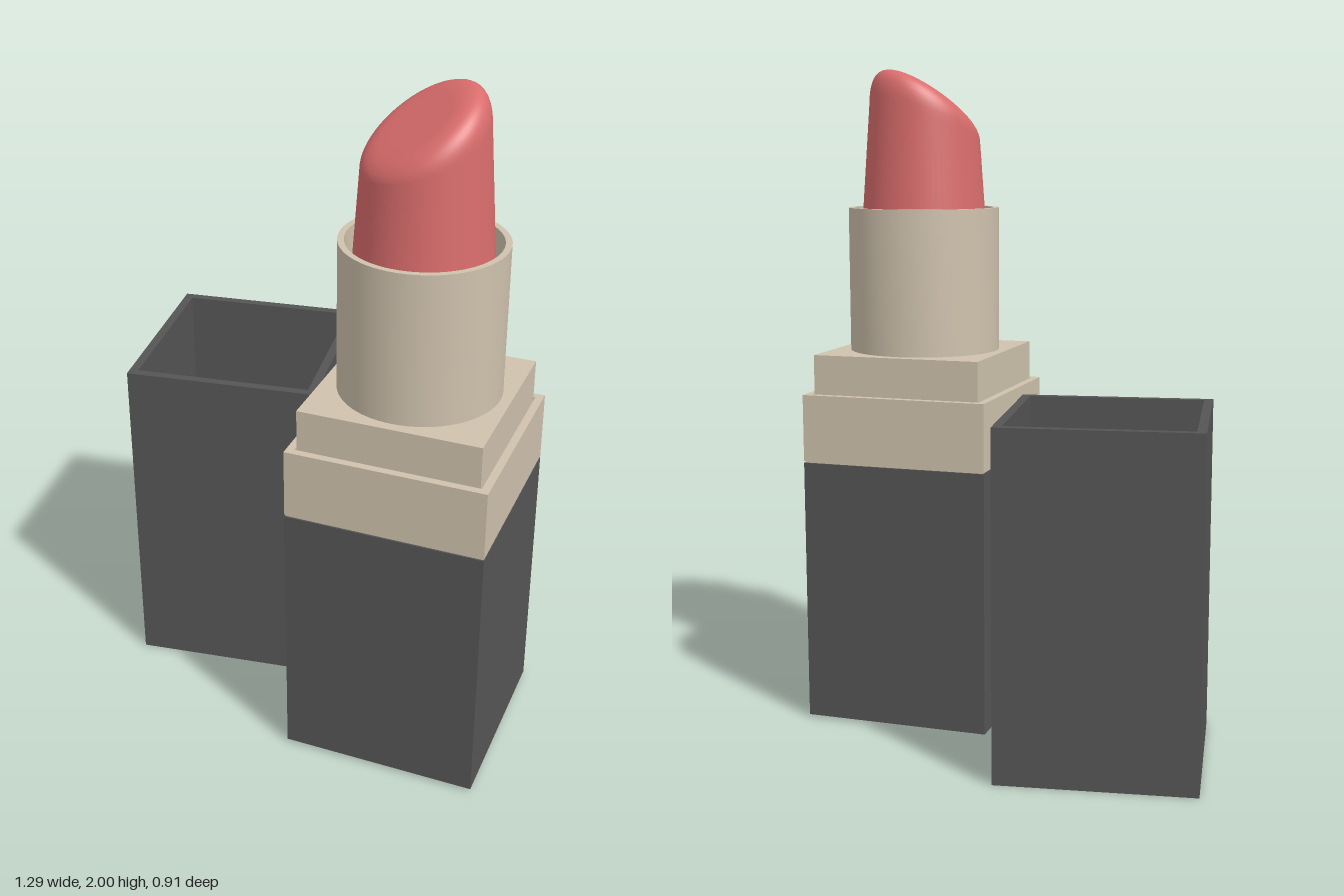
import * as THREE from 'three';
import { toCreasedNormals } from 'three/addons/utils/BufferGeometryUtils.js';

const dark = new THREE.MeshStandardMaterial({ color: 0x555555 });
const gold = new THREE.MeshStandardMaterial({ color: 0xcfc2ad });
const red = new THREE.MeshStandardMaterial({ color: 0xd96c6c });
dark.name = 'charcoal';
gold.name = 'champagne';
red.name = 'rose red';

function add(parent, name, geometry, material) {
  const mesh = new THREE.Mesh(geometry, material);
  mesh.name = name;
  parent.add(mesh);
  return mesh;
}

// Square block from y0 to y1
function block(size, y0, y1) {
  return new THREE.BoxGeometry(size, y1 - y0, size).translate(0, (y0 + y1) / 2, 0);
}

// Square tube from y0 to y1
function frame(outer, inner, y0, y1) {
  const square = (Type, h) => new Type([[-h, -h], [h, -h], [h, h], [-h, h]].map(p => new THREE.Vector2(...p)));
  const shape = square(THREE.Shape, outer / 2);
  shape.holes.push(square(THREE.Path, inner / 2));
  return new THREE.ExtrudeGeometry(shape, { depth: y1 - y0, bevelEnabled: false })
    .rotateX(-Math.PI / 2).translate(0, y0, 0);
}

// Tapered stick with a softly rounded slanted cut; the high side points to +x
function stickGeometry() {
  const n = 64, soft = 12, faceRings = 5;
  const radius = y => 0.195 - 0.1 * (y - 1.585);
  const plane = u => 1.936 + 0.7 * u;
  const rings = 2 + soft + faceRings;
  const pos = [], index = [];
  for (let j = 0; j < rings; j++) {
    for (let i = 0; i < n; i++) {
      const a = (i / n) * Math.PI * 2, c = Math.cos(a);
      const rCorner = 0.167 - 0.006 * c;
      const yCorner = plane(rCorner * c);
      const ySide = yCorner - (0.09 + 0.055 * c);
      const rSide = radius(ySide);
      const rFace = rCorner - (0.078 + 0.028 * c);
      let r, y;
      if (j === 0) {
        y = 1.34;
        r = 0.205;
      } else if (j <= soft + 1) {
        // Curve from the side wall over the rim onto the cut
        const t = (j - 1) / soft, s = 1 - t;
        r = s * s * rSide + 2 * s * t * rCorner + t * t * rFace;
        y = s * s * ySide + 2 * s * t * yCorner + t * t * plane(rFace * c);
      } else {
        r = rFace * (1 - (j - soft - 1) / (faceRings + 1));
        y = plane(r * c);
      }
      pos.push(r * c, y, -r * Math.sin(a));
      if (j < rings - 1) {
        const k = (i + 1) % n, p = j * n, q = p + n;
        index.push(p + i, p + k, q + k, p + i, q + k, q + i);
      }
    }
  }
  const centre = pos.length / 3, last = (rings - 1) * n;
  pos.push(0, plane(0), 0);
  for (let i = 0; i < n; i++) index.push(last + i, last + (i + 1) % n, centre);
  const g = new THREE.BufferGeometry();
  g.setAttribute('position', new THREE.Float32BufferAttribute(pos, 3));
  g.setIndex(index);
  g.computeVertexNormals();
  return g;
}

export function createModel() {
  const model = new THREE.Group();
  model.name = 'lipstick';

  // Standing tube
  const body = new THREE.Group();
  body.name = 'body';
  body.position.set(0.35, 0, 0.165);
  model.add(body);
  add(body, 'base', block(0.58, 0.008, 0.815), dark);
  add(body, 'seam', block(0.57, 0.81, 0.825), gold);
  add(body, 'collar', frame(0.58, 0.534, 0.82, 1.025), gold);
  add(body, 'step', block(0.525, 0.822, 1.145), gold);

  // Hollow metal sleeve
  const profile = [[0.232, 1.14], [0.232, 1.585], [0.214, 1.585], [0.214, 1.36], [0, 1.36]]
    .map(p => new THREE.Vector2(...p));
  add(body, 'sleeve', toCreasedNormals(new THREE.LatheGeometry(profile, 64), 0.6), gold);

  // Coloured stick, cut slanting down to the front
  add(body, 'stick', stickGeometry(), red).rotation.y = Math.PI / 4;

  // Open cap beside it
  const cap = new THREE.Group();
  cap.name = 'cap';
  cap.position.set(-0.316, 0, -0.128);
  cap.rotation.y = 0.147;
  model.add(cap);
  add(cap, 'capWalls', frame(0.58, 0.527, 0, 1.02), dark);
  add(cap, 'capFloor', block(0.528, 0, 0.03), dark);

  return model;
}
